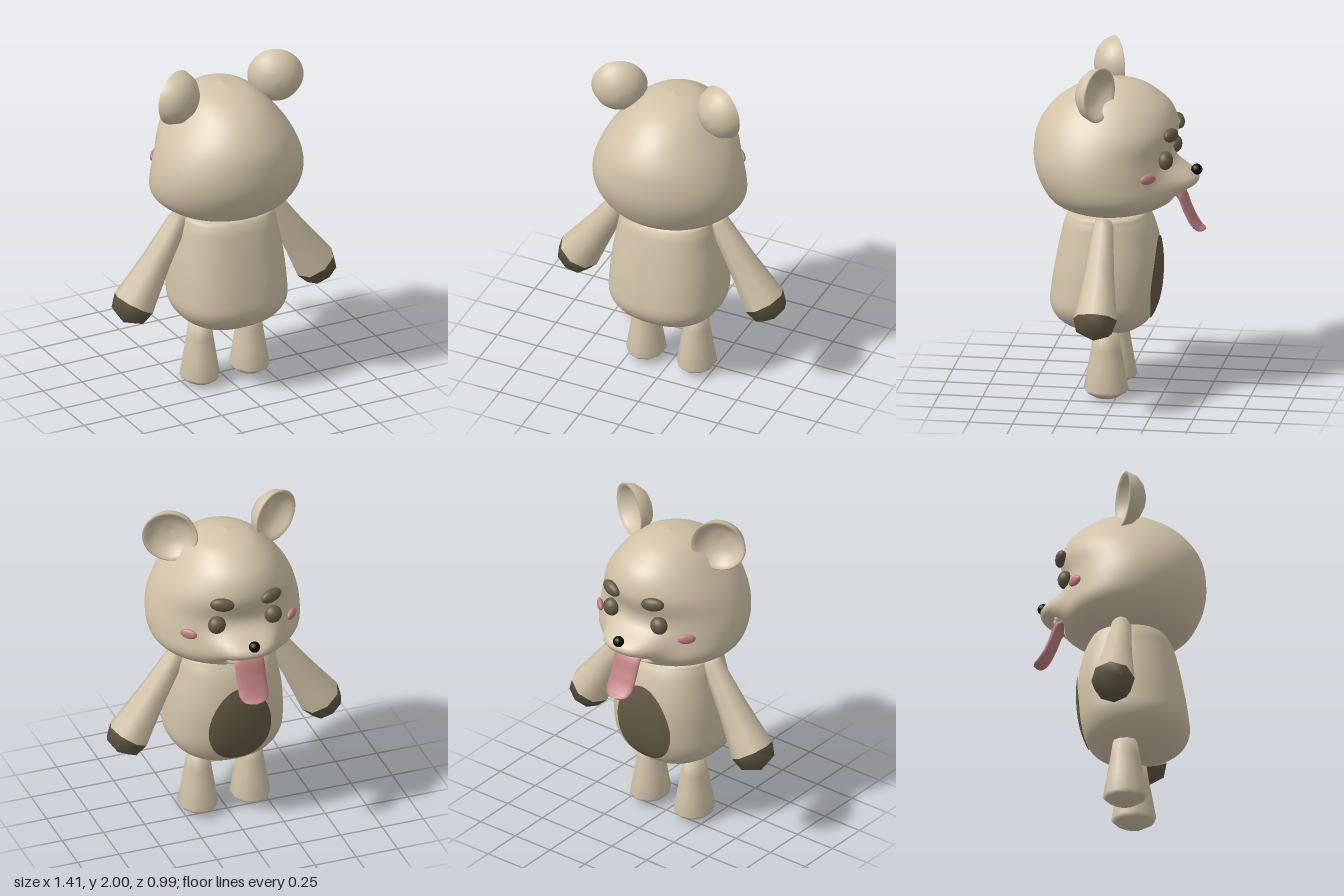
import * as THREE from 'three';

const paint = (name, color) => {
  const m = new THREE.MeshStandardMaterial({ color });
  m.name = name;
  return m;
};

// Smooth list of sections from a few rows of [y, half width, back z, front z]
function smoothRows(rows, count) {
  const width = new THREE.CatmullRomCurve3(rows.map(r => new THREE.Vector3(r[1], r[0], 0)), false, 'catmullrom');
  const depth = new THREE.CatmullRomCurve3(rows.map(r => new THREE.Vector3(r[2], r[0], r[3])), false, 'catmullrom');
  return Array.from({ length: count + 1 }, (_, i) => {
    const w = width.getPoint(i / count), d = depth.getPoint(i / count);
    return { y: w.y, hw: Math.max(w.x, 0), c: (d.x + d.z) / 2, rz: Math.max((d.x - d.z) / 2, 0) };
  });
}

// Skin of stacked superellipse rings, with an optional rule that shifts z
function loft(sections, n, shift = () => 0, segs = 64) {
  const pos = [], index = [];
  const pw = v => Math.sign(v) * Math.abs(v) ** (2 / n);
  for (const s of sections) {
    for (let j = 0; j < segs; j++) {
      const a = (j / segs) * Math.PI * 2;
      const x = s.hw * pw(Math.cos(a)), z = s.c + s.rz * pw(Math.sin(a));
      pos.push(x, s.y, z + (z < s.c ? shift(x, s.y, (s.c - z) / (s.rz || 1)) : 0));
    }
  }
  for (let i = 0; i < sections.length - 1; i++) {
    for (let j = 0; j < segs; j++) {
      const a = i * segs + j, b = i * segs + (j + 1) % segs;
      index.push(a, a + segs, b, b, a + segs, b + segs);
    }
  }
  const g = new THREE.BufferGeometry();
  g.setAttribute('position', new THREE.Float32BufferAttribute(pos, 3));
  g.setIndex(index);
  g.computeVertexNormals();
  return g;
}

const lathe = (pts, segs) => new THREE.LatheGeometry(pts.map(p => new THREE.Vector2(...p)), segs);
const UP = new THREE.Vector3(0, 1, 0);

export function createModel() {
  const group = new THREE.Group();
  const fur = paint('fur', 0xd2c3a8), dark = paint('darkFur', 0x645b45);
  const pink = paint('pink', 0xc08083), black = paint('black', 0x0a0a0a), ivory = paint('ivory', 0xe8dcc4);

  const add = (name, geometry, material, x = 0, y = 0, z = 0) => {
    const m = new THREE.Mesh(geometry, material);
    m.name = name;
    m.position.set(x, y, z);
    group.add(m);
    return m;
  };
  const blob = (name, material, at, size) => {
    const m = add(name, new THREE.SphereGeometry(1, 20, 14), material, ...at);
    m.scale.set(...size);
    return m;
  };

  // Head with a pushed-out snout and a carved mouth
  const head = smoothRows([
    [1.078, 0, 0.07, 0.07], [1.085, 0.17, 0.22, -0.09], [1.105, 0.27, 0.3, -0.19], [1.15, 0.365, 0.385, -0.29],
    [1.22, 0.43, 0.435, -0.33], [1.33, 0.445, 0.48, -0.31], [1.45, 0.425, 0.49, -0.3], [1.58, 0.37, 0.465, -0.335],
    [1.7, 0.285, 0.385, -0.3], [1.78, 0.21, 0.285, -0.215], [1.83, 0.13, 0.17, -0.12], [1.858, 0, 0.03, 0.03],
  ], 66);
  const bell = (v, mid, w, p = 2) => Math.exp(-(Math.abs((v - mid) / w) ** p));
  add('head', loft(head, 2, (x, y, f) => f * (
    -0.135 * bell(x, 0, 0.2, 4) * bell(y, 1.29, 0.075)
    + 0.1 * bell(x, 0, 0.12, 6) * bell(y, 1.208, 0.028, 4)), 80), fur);

  // Torso
  const torso = smoothRows([
    [0.355, 0, 0.08, 0.08], [0.375, 0.13, 0.2, -0.06], [0.44, 0.265, 0.33, -0.165], [0.53, 0.33, 0.39, -0.21],
    [0.65, 0.335, 0.385, -0.232], [0.8, 0.325, 0.36, -0.235], [0.95, 0.3, 0.33, -0.21], [1.05, 0.28, 0.3, -0.17],
    [1.09, 0.24, 0.25, -0.12], [1.1, 0, 0.07, 0.07],
  ], 45);
  const N = 2.4;
  add('torso', loft(torso, N), fur);

  // Belly patch: a disc wrapped onto the torso
  const patch = new THREE.RingGeometry(0.001, 1, 40, 10);
  const p = patch.attributes.position;
  for (let i = 0; i < p.count; i++) {
    const v = p.getY(i), x = -p.getX(i) * 0.185 * (1 - 0.12 * v), y = 0.69 + 0.24 * v;
    const k = torso.findIndex(s => s.y > y), a = torso[k - 1], b = torso[k];
    const t = (y - a.y) / (b.y - a.y), mix = key => a[key] + (b[key] - a[key]) * t;
    const z = mix('c') - mix('rz') * (1 - (Math.abs(x) / mix('hw')) ** N) ** (1 / N);
    p.setXYZ(i, x * 1.015, y, z - 0.007);
  }
  patch.computeVertexNormals();
  add('bellyPatch', patch, dark);

  // Face
  blob('nose', black, [0, 1.335, -0.44], [0.032, 0.032, 0.032]);
  for (const s of [1, -1]) {
    blob('eye', dark, [s * 0.17, 1.43, -0.285], [0.052, 0.053, 0.045]);
    const brow = blob('eyebrow', dark, [s * 0.148, 1.575, -0.315], [0.07, 0.04, 0.032]);
    brow.rotation.set(0, s * -0.3, s * 0.12);
    const cheek = blob('cheek', pink, [s * 0.312, 1.357, -0.21], [0.052, 0.03, 0.018]);
    cheek.rotation.y = s * -0.8;
    for (const x of [0.05, 0.1]) blob('tooth', ivory, [s * x, 1.232, -0.375 + x * 0.3], [0.014, 0.022, 0.014]);
  }

  // Tongue: a flattened tube, narrowing to its tip
  const path = new THREE.CatmullRomCurve3([
    [1.215, -0.26], [1.205, -0.34], [1.1, -0.39], [1.03, -0.425], [0.992, -0.46], [0.985, -0.495],
  ].map(q => new THREE.Vector3(0, ...q)));
  const rings = 30, sides = 16, tongue = new THREE.TubeGeometry(path, rings, 0.027, sides);
  const tp = tongue.attributes.position;
  for (let i = 0; i < tp.count; i++) {
    const t = Math.floor(i / (sides + 1)) / rings, c = path.getPointAt(t);
    const f = Math.sqrt(Math.max(0, 1 - Math.max(0, (t - 0.75) / 0.25) ** 2));
    const thick = f * (1 - 0.35 * t);
    tp.setXYZ(i, tp.getX(i) * 3.3 * f, c.y + (tp.getY(i) - c.y) * thick, c.z + (tp.getZ(i) - c.z) * thick);
  }
  tongue.computeVertexNormals();
  add('tongue', tongue, pink);

  const earShape = lathe([[0, -0.125], [0.05, -0.12], [0.1, -0.098], [0.14, -0.058], [0.16, 0], [0.15, 0.006],
    [0.135, -0.01], [0.105, -0.045], [0.06, -0.066], [0, -0.072]], 32);
  const armShape = lathe([[0, 0], [0.045, 0], [0.06, 0.04], [0.085, 0.3], [0.11, 0.48], [0.125, 0.58]], 8);
  const handShape = lathe([[0.125, 0.58], [0.102, 0.66], [0, 0.705]], 8);
  const legShape = lathe([[0, 0.005], [0.06, 0.012], [0.105, 0.04], [0.12, 0.06], [0.1, 0.18], [0.08, 0.3],
    [0.066, 0.4], [0, 0.42]], 10);

  for (const s of [1, -1]) {
    // Cupped ears, open toward the face and outward
    add('ear', earShape, fur, s * 0.32, 1.845, 0.07)
      .quaternion.setFromUnitVectors(UP, new THREE.Vector3(s * 0.42, 0, -0.9).normalize());
    // Arms with dark hands
    for (const [name, shape, mat] of [['arm', armShape, fur], ['hand', handShape, dark]]) {
      add(name, shape, mat, s * 0.275, 1.09, 0.052)
        .quaternion.setFromUnitVectors(UP, new THREE.Vector3(s * 0.523, -0.852, 0).normalize());
    }
    // Legs
    add('leg', legShape, fur, s * 0.158, 0, 0.055).scale.set(0.95, 1, 1.08);
  }
  return group;
}
